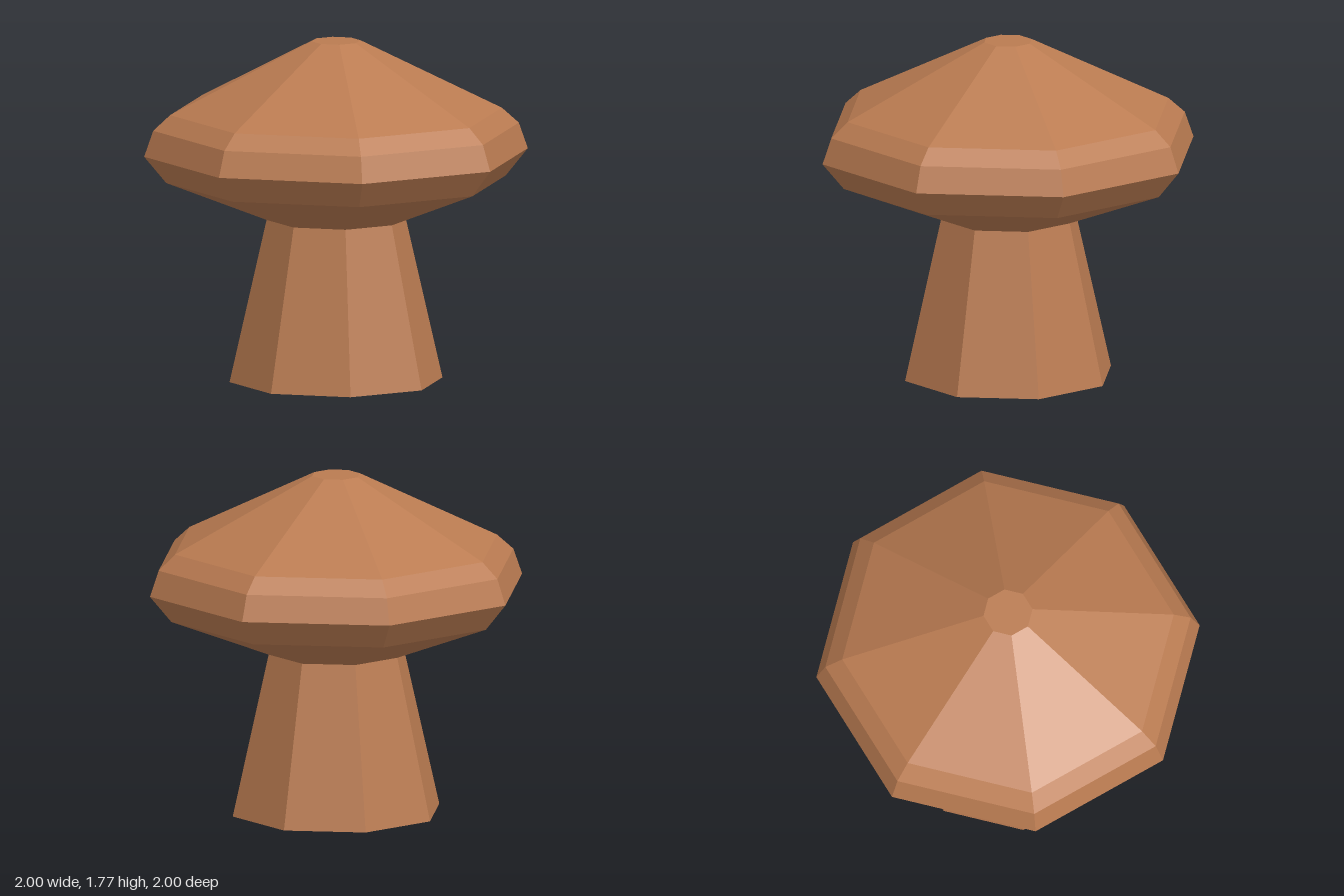
import * as THREE from 'three';

const SIDES = 8;

// Eight-sided solid of revolution with flat facets; profile runs bottom to top.
function facetedLathe(profile) {
  const points = profile.map(([r, y]) => new THREE.Vector2(r, y));
  const geometry = new THREE.LatheGeometry(points, SIDES).toNonIndexed();
  geometry.computeVertexNormals();
  return geometry;
}

export function createModel() {
  const group = new THREE.Group();
  group.name = 'mushroom';

  const brown = new THREE.MeshStandardMaterial({ color: 0xba7b51 });
  brown.name = 'warm brown';

  // Tapered stem, closed at the base
  const stem = new THREE.Mesh(facetedLathe([[0, 0], [0.555, 0], [0.362, 0.845]]), brown);
  stem.name = 'stem';

  // Cap: sloping underside, bevelled rim, shallow cone and small flat crown
  const cap = new THREE.Mesh(facetedLathe([
    [0.362, 0.845], [0.885, 1.05], [1, 1.19], [0.953, 1.325],
    [0.865, 1.405], [0.128, 1.775], [0, 1.775],
  ]), brown);
  cap.name = 'cap';

  group.add(stem, cap);
  return group;
}
